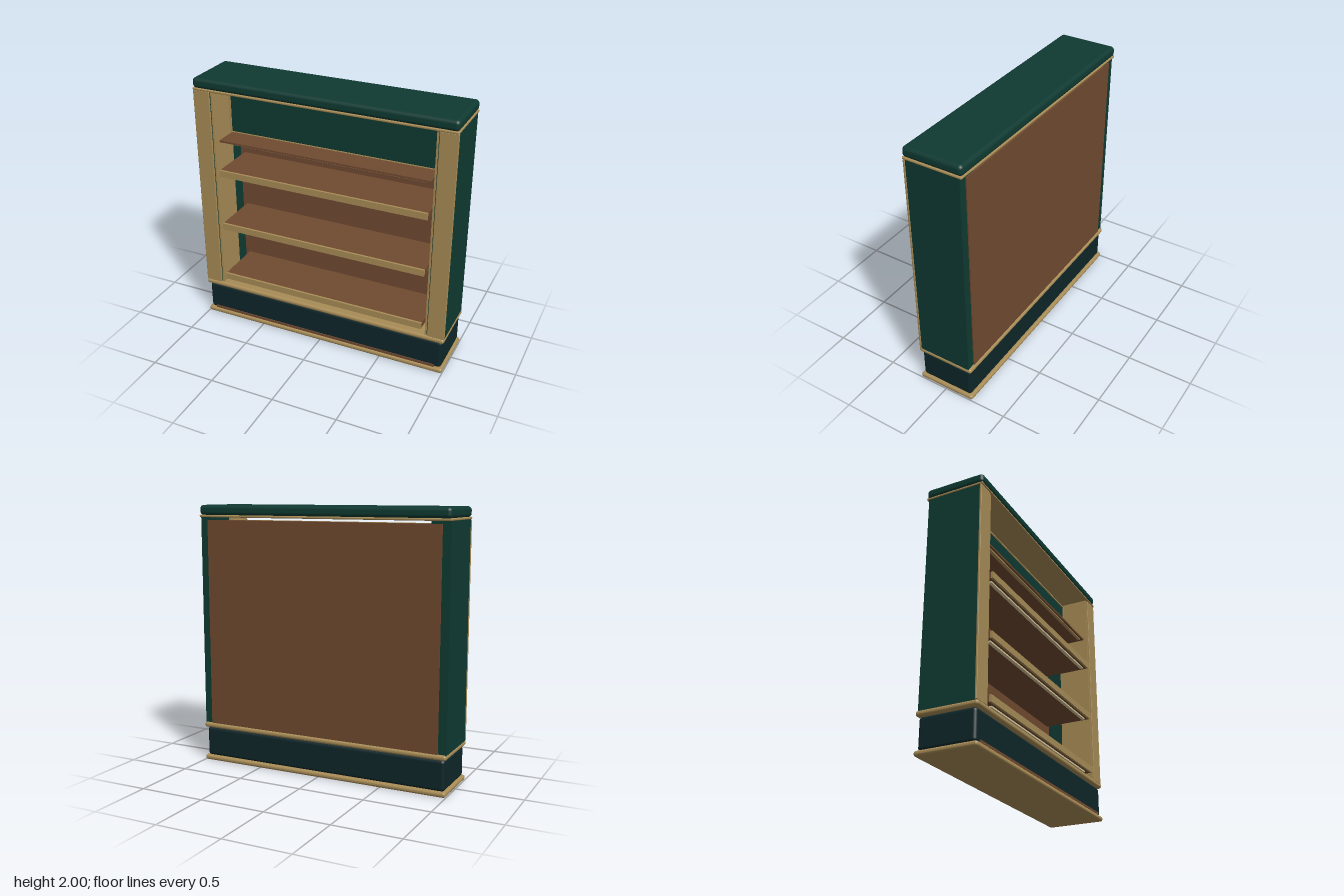
import * as THREE from 'three';
import { RoundedBoxGeometry } from 'three/addons/geometries/RoundedBoxGeometry.js';

const material = (name, color) => {
  const m = new THREE.MeshStandardMaterial({ color });
  m.name = name;
  return m;
};

export function createModel() {
  const green = material('dark green paint', 0x0f3a32);
  const navy = material('blue black plinth', 0x0e2629);
  const brass = material('antique brass', 0xa88c56);
  const wood = material('brown wood', 0x704a30);
  const glow = material('cream light strip', 0xd8c69a);

  const model = new THREE.Group();
  model.name = 'displayCabinet';

  // Box given by its limits on each axis, with optional rounded edges
  const box = (name, mat, [x0, x1], [y0, y1], [z0, z1], radius = 0, parent = model) => {
    const w = x1 - x0, h = y1 - y0, d = z1 - z0;
    const geo = radius
      ? new RoundedBoxGeometry(w, h, d, 4, radius)
      : new THREE.BoxGeometry(w, h, d);
    const mesh = new THREE.Mesh(geo, mat);
    mesh.name = name;
    mesh.position.set((x0 + x1) / 2, (y0 + y1) / 2, (z0 + z1) / 2);
    parent.add(mesh);
    return mesh;
  };
  const span = (half) => [-half, half];

  // Plinth between two rounded rails
  box('baseRail', brass, span(1), [0, 0.04], span(0.228), 0.018);
  box('plinth', navy, span(0.985), [0.035, 0.265], span(0.21), 0.025);
  box('plinthStrip', wood, span(0.935), [0.04, 0.06], [0.205, 0.217]);
  box('middleRail', brass, span(1), [0.265, 0.305], span(0.228), 0.018);

  // Crown and its thin trim
  box('crownTrim', brass, span(1), [1.908, 1.926], span(0.226), 0.007);
  box('crown', green, span(1), [1.922, 2], span(0.228), 0.028);

  // Side walls with front stile, reveal bead and inner lining
  for (const s of [-1, 1]) {
    const side = new THREE.Group();
    side.name = s > 0 ? 'leftSide' : 'rightSide';
    model.add(side);
    const mirrored = (a, b) => (s > 0 ? [a, b] : [-b, -a]);
    box('sideWall', green, mirrored(0.855, 0.996), [0.3, 1.91], [-0.208, 0.205], 0, side);
    box('frontStile', brass, mirrored(0.868, 1), [0.303, 1.908], [0.204, 0.22], 0.004, side);
    box('innerLining', brass, mirrored(0.848, 0.861), [0.303, 1.908], [-0.04, 0.21], 0, side);
  }

  // Back panel, stopping short of the crown
  box('backPanel', wood, span(0.935), [0.303, 1.888], [-0.216, -0.16]);

  // Header board in a thin frame, with the ledge below it
  box('headerPanel', green, span(0.822), [1.535, 1.875], [-0.03, 0.004], 0.006);
  for (const s of [-1, 1]) {
    const x = s > 0 ? [0.822, 0.835] : [-0.835, -0.822];
    box('headerFrameSide', brass, x, [1.525, 1.885], [-0.03, 0.01]);
  }
  box('headerFrameTop', brass, span(0.835), [1.874, 1.885], [-0.03, 0.01]);
  box('headerFrameBottom', brass, span(0.835), [1.525, 1.537], [-0.03, 0.01]);
  box('headerLedge', wood, span(0.82), [1.517, 1.531], [-0.03, 0.19]);
  box('headerLight', brass, span(0.785), [1.508, 1.517], [0.15, 0.175]);

  // Shelves with brass lips and light strips underneath
  const shelves = [[0.35, 0.755], [0.8, 0.785], [1.25, 0.785]];
  for (const [y, lightHalf] of shelves) {
    const shelf = new THREE.Group();
    shelf.name = 'shelf';
    model.add(shelf);
    box('shelfBoard', wood, span(0.82), [y, y + 0.048], [-0.165, 0.205], 0, shelf);
    box('shelfLip', brass, span(0.82), [y, y + 0.05], [0.205, 0.222], 0, shelf);
    box('shelfLight', glow, span(lightHalf), [y - 0.012, y], [0.165, 0.19], 0, shelf);
  }

  return model;
}
